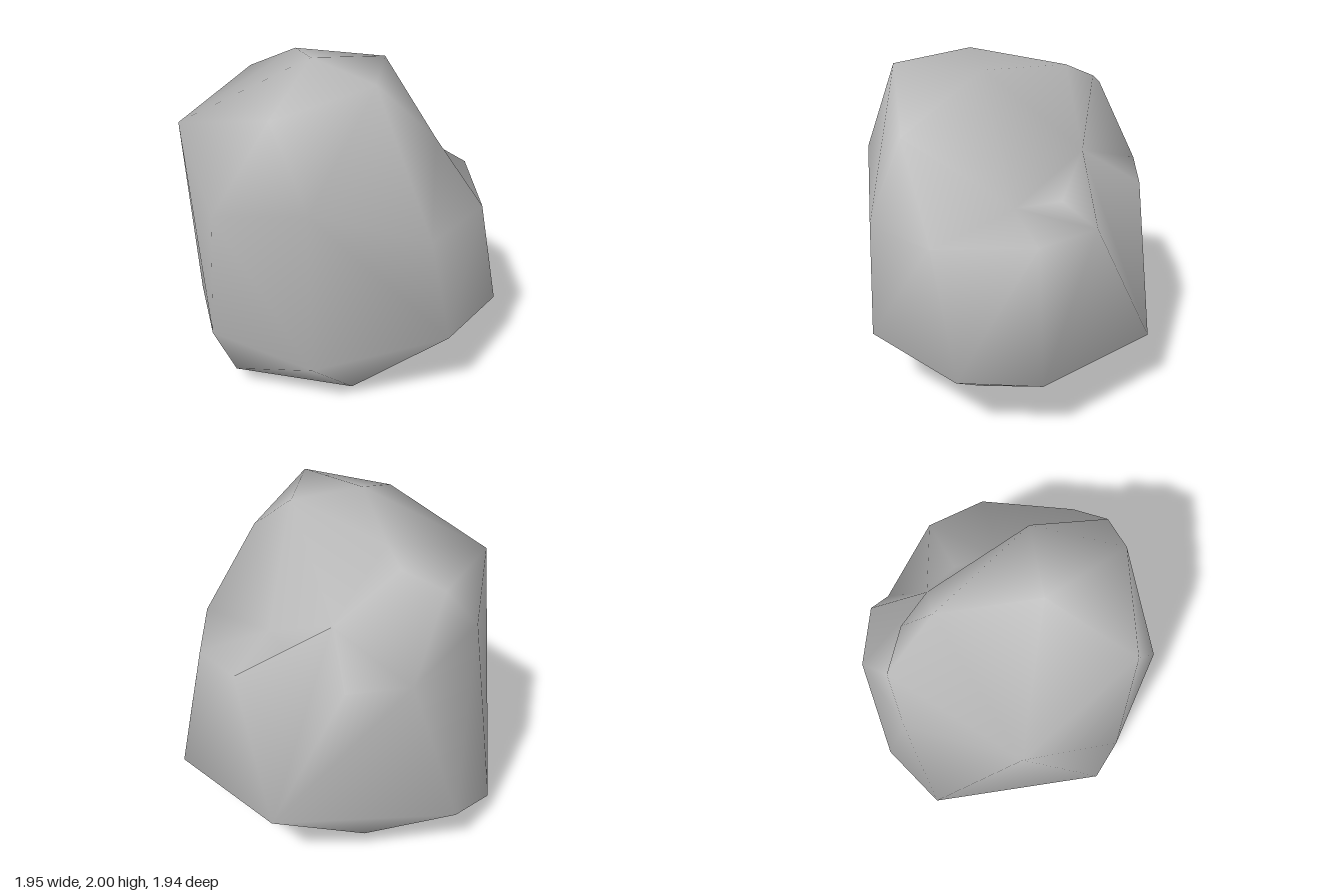
import * as THREE from 'three';
import { ConvexGeometry } from 'three/addons/geometries/ConvexGeometry.js';

// Outer corners of the boulder
const CROWN = [
  [-0.24, 2, 0.1], [0.17, 1.97, 0.24], [-0.19, 1.98, 0.62], [-0.71, 1.83, 0.4], [0, 1.88, -0.43],
  [-0.12, 1.7, -0.78], [0.05, 1.8, -0.6], [-0.85, 1.61, -0.36], [-0.34, 1.45, -0.82], [0.13, 1.65, 0.74],
];
const WAIST = [
  [0.5, 1.14, 0.77], [0.82, 1.18, -0.1], [0.82, 1.16, 0.28], [0.47, 1.22, -0.67], [0.16, 1.25, -0.87],
  [0, 1.12, 0.9], [-0.63, 1.36, 0.63], [-0.96, 1.27, 0.19],
];
const FOOT = [
  [0.85, 0.4, -0.49], [0.97, 0.4, 0.34], [0.71, 0.41, 0.74], [0.11, 0.48, 0.97], [-0.63, 0.38, 0.65],
  [-0.98, 0.49, 0.14], [-0.14, 0.28, -0.97], [-0.56, 0.13, -0.84], [-0.82, 0.13, 0.1], [-0.3, 0.07, 0.59],
  [-0.15, 0, -0.53], [0.55, 0.21, 0.5], [0.55, 0.21, -0.2], [0.3, 0.14, -0.65],
];
// Hollow corners: the valley of the ledge and the underside; the last value
// lifts each one out to the hull so that it gets its own faces
const HOLLOWS = [
  [0.4, 1.21, 0.18, 1.6], [0.47, 1.22, -0.1, 1.44], [0.31, 1.44, -0.35, 1.4], [-0.1, 0.13, 0.03, 1.25],
];
const CORE = new THREE.Vector3(-0.1, 0.8, 0);

// Wrap a hull round all corners, then sink the hollow ones to their places
function boulderGeometry() {
  const corners = [...CROWN, ...WAIST, ...FOOT, ...HOLLOWS];
  const places = corners.map(([x, y, z]) => new THREE.Vector3(x, y, z));
  const lifted = places.map((p, i) => p.clone().sub(CORE).multiplyScalar(corners[i][3] ?? 1).add(CORE));
  const hull = new ConvexGeometry(lifted).getAttribute('position');
  const index = [], v = new THREE.Vector3();
  for (let i = 0; i < hull.count; i++) {
    v.fromBufferAttribute(hull, i);
    index.push(lifted.findIndex((p) => p.distanceTo(v) < 1e-4));
  }
  const geo = new THREE.BufferGeometry().setFromPoints(places);
  geo.setIndex(index);
  geo.computeVertexNormals();
  return geo;
}

export function createModel() {
  const group = new THREE.Group();
  group.name = 'rock';
  const stone = new THREE.MeshStandardMaterial({ color: 0xb8b8b8 });
  stone.name = 'grey stone';

  // Boulder with a ledge in its upper left side
  const boulder = new THREE.Mesh(boulderGeometry(), stone);
  boulder.name = 'boulder';
  group.add(boulder);
  return group;
}
